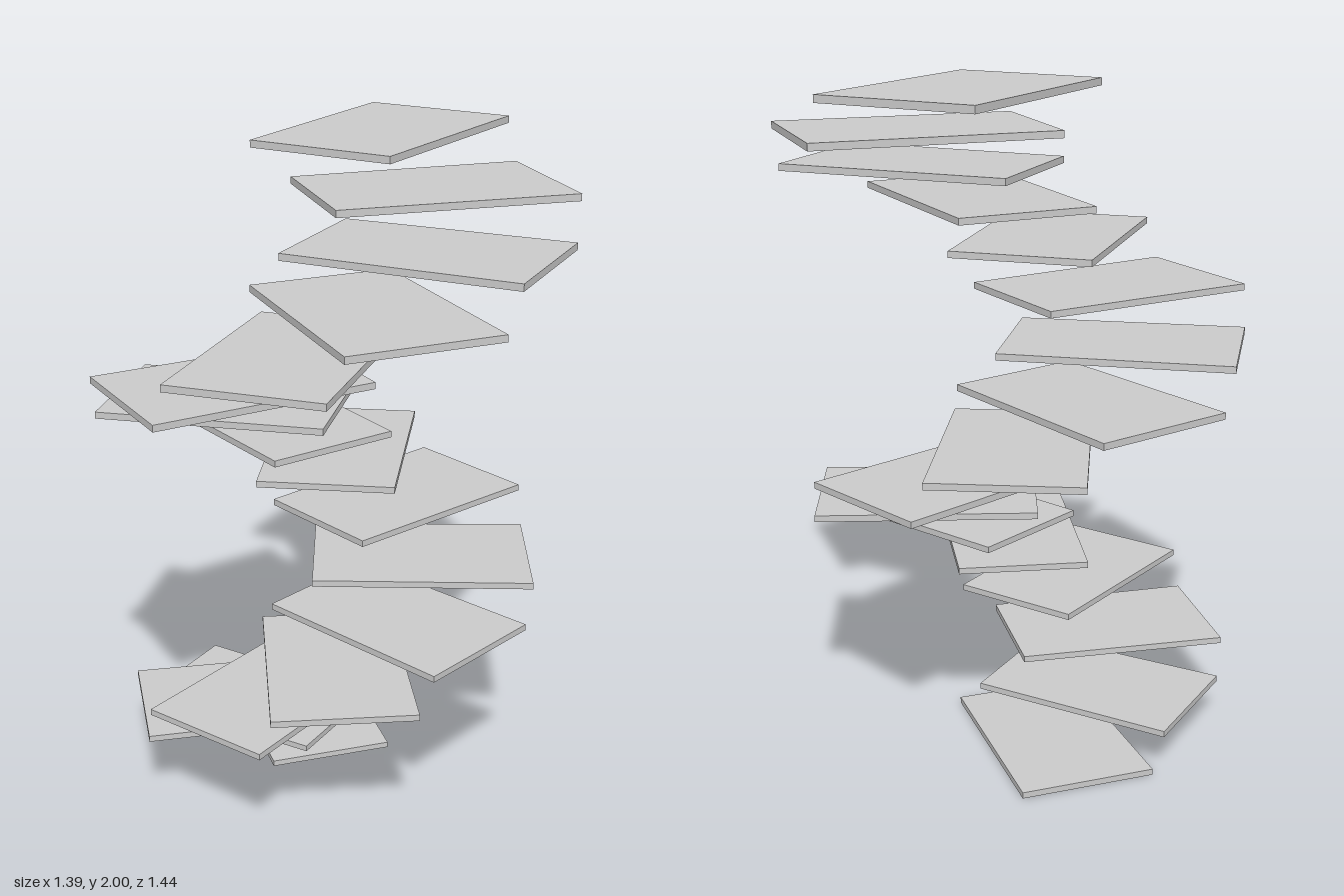
import * as THREE from 'three';

const STEPS = 17;
const LENGTH = 0.742, INNER = 0.465, OUTER = 0.487, THICK = 0.022;
const OVERLAP = 0.041; // how far each inner edge reaches past the axis

// Slightly tapered slab, its inner edge on z = 0, pointing to -z, underside on y = 0
function slabGeometry() {
  const shape = new THREE.Shape([
    new THREE.Vector2(-INNER / 2, 0),
    new THREE.Vector2(INNER / 2, 0),
    new THREE.Vector2(OUTER / 2, LENGTH),
    new THREE.Vector2(-OUTER / 2, LENGTH),
  ]);
  const geometry = new THREE.ExtrudeGeometry(shape, { depth: THICK, bevelEnabled: false });
  return geometry.rotateX(-Math.PI / 2);
}

export function createModel() {
  const model = new THREE.Group();
  model.name = 'spiralStaircase';
  const material = new THREE.MeshStandardMaterial({ color: 0xcccccc, flatShading: true });
  const geometry = slabGeometry();

  // Treads climb round the axis, growing in size and spacing
  for (let k = 0; k < STEPS; k++) {
    const angle = THREE.MathUtils.degToRad(292.4 - 42 * k);
    const tread = new THREE.Mesh(geometry, material);
    tread.name = `tread${k + 1}`;
    tread.scale.setScalar(0.84 + 0.01 * k);
    tread.rotation.y = -angle;
    tread.position.set(
      -0.031 - OVERLAP * Math.sin(angle),
      0.114 * k + 0.0006 * k * k,
      0.025 + OVERLAP * Math.cos(angle),
    );
    model.add(tread);
  }
  return model;
}
